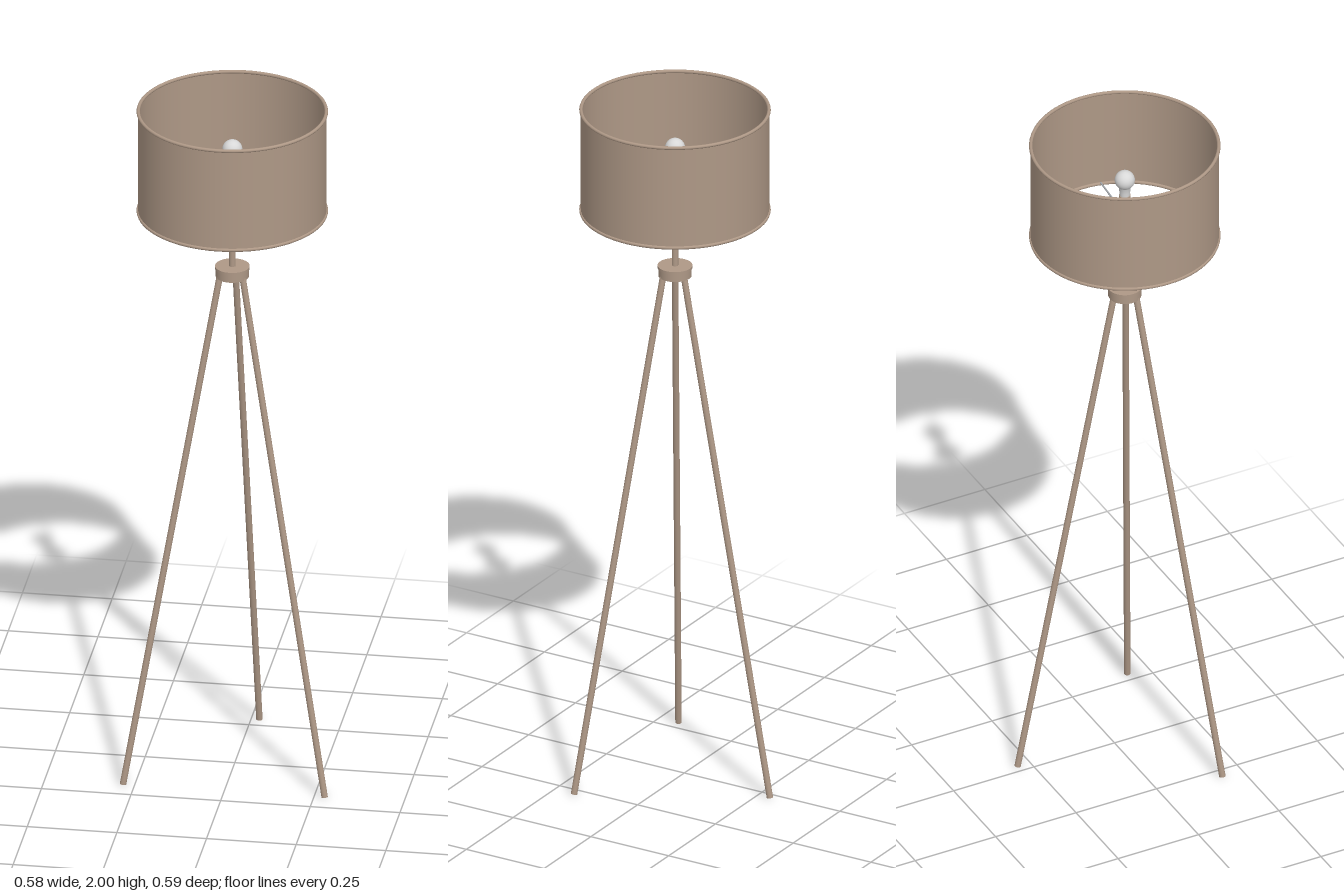
import * as THREE from 'three';

const CX = -0.002, CZ = 0.031; // lamp axis

export function createModel() {
  const mat = (name, color, side = THREE.FrontSide) => {
    const m = new THREE.MeshStandardMaterial({ color, side });
    m.name = name;
    return m;
  };
  const tan = mat('warm tan', 0xae9886, THREE.DoubleSide);
  const metal = mat('brushed metal', 0xb0b4b8);
  const glass = mat('frosted glass', 0xd8d8d8);

  const model = new THREE.Group();
  model.name = 'tripodFloorLamp';
  const lamp = new THREE.Group(); // parts around the lamp axis
  lamp.name = 'lampHead';
  lamp.position.set(CX, 0, CZ);
  model.add(lamp);

  const add = (parent, name, geometry, material) => {
    const mesh = new THREE.Mesh(geometry, material);
    mesh.name = name;
    parent.add(mesh);
    return mesh;
  };
  const rod = (parent, name, a, b, radius, material, sides = 16) => {
    const from = new THREE.Vector3(...a), to = new THREE.Vector3(...b);
    const dir = to.clone().sub(from);
    const mesh = add(parent, name, new THREE.CylinderGeometry(radius, radius, dir.length(), sides), material);
    mesh.position.copy(from).add(to).multiplyScalar(0.5);
    mesh.quaternion.setFromUnitVectors(new THREE.Vector3(0, 1, 0), dir.normalize());
    return mesh;
  };
  const disc = (name, radius, y0, y1, material, sides = 40) => {
    const mesh = add(lamp, name, new THREE.CylinderGeometry(radius, radius, y1 - y0, sides), material);
    mesh.position.y = (y0 + y1) / 2;
    return mesh;
  };
  const ring = (name, radius, tube, y, material) => {
    const mesh = add(lamp, name, new THREE.TorusGeometry(radius, tube, 10, 72), material);
    mesh.rotation.x = Math.PI / 2;
    mesh.position.y = y;
    return mesh;
  };

  // Three splayed legs: foot, then top
  const legs = [
    ['backLeg', [0.023, 0.002, -0.289], [0.002, 1.5, 0.0]],
    ['rightLeg', [-0.282, 0.002, 0.188], [-0.034, 1.5, 0.05]],
    ['leftLeg', [0.28, 0.002, 0.186], [0.03, 1.5, 0.05]],
  ];
  for (const [name, foot, top] of legs) rod(model, name, foot, top, 0.009, tan);

  // Hub joining the legs, and the pole
  disc('hub', 0.046, 1.495, 1.52, tan);
  disc('hubCap', 0.048, 1.518, 1.526, tan);
  disc('hubStub', 0.009, 1.48, 1.5, tan, 16);
  disc('pole', 0.009, 1.52, 1.76, tan, 20);

  // Open drum shade with rolled rims
  const shade = add(lamp, 'shade', new THREE.CylinderGeometry(0.26, 0.26, 0.3, 72, 1, true), tan);
  shade.position.y = 1.845;
  ring('topRim', 0.259, 0.005, 1.995, tan);
  ring('bottomRim', 0.259, 0.005, 1.694, tan);

  // Wire arms from the socket ring to the lower rim
  for (const [x, z] of [[-0.08, -0.241], [0.248, 0.055], [-0.163, 0.196]]) {
    const k = 0.03 / Math.hypot(x, z);
    rod(lamp, 'shadeArm', [x * k, 1.755, z * k], [x, 1.7, z], 0.0025, metal, 8);
  }

  // Socket and bulb
  disc('socketRing', 0.033, 1.752, 1.76, tan);
  disc('socket', 0.016, 1.76, 1.83, tan, 24);
  const bulbProfile = [[0.014, 1.825], [0.015, 1.84]];
  for (let i = 0; i <= 12; i++) {
    const a = -0.95 + (i / 12) * (Math.PI / 2 + 0.95);
    bulbProfile.push([Math.max(0, 0.028 * Math.cos(a)), 1.88 + 0.028 * Math.sin(a)]);
  }
  add(lamp, 'bulb', new THREE.LatheGeometry(bulbProfile.map(p => new THREE.Vector2(...p)), 32), glass);

  // Pull chain with its bead
  rod(lamp, 'chainOutlet', [0, 1.775, -0.014], [0, 1.775, -0.035], 0.004, metal, 10);
  rod(lamp, 'pullChain', [-0.001, 1.775, -0.033], [-0.001, 1.59, -0.033], 0.0018, metal, 8);
  const bead = add(lamp, 'chainBead', new THREE.SphereGeometry(0.006, 16, 12), metal);
  bead.position.set(-0.001, 1.586, -0.033);

  return model;
}
